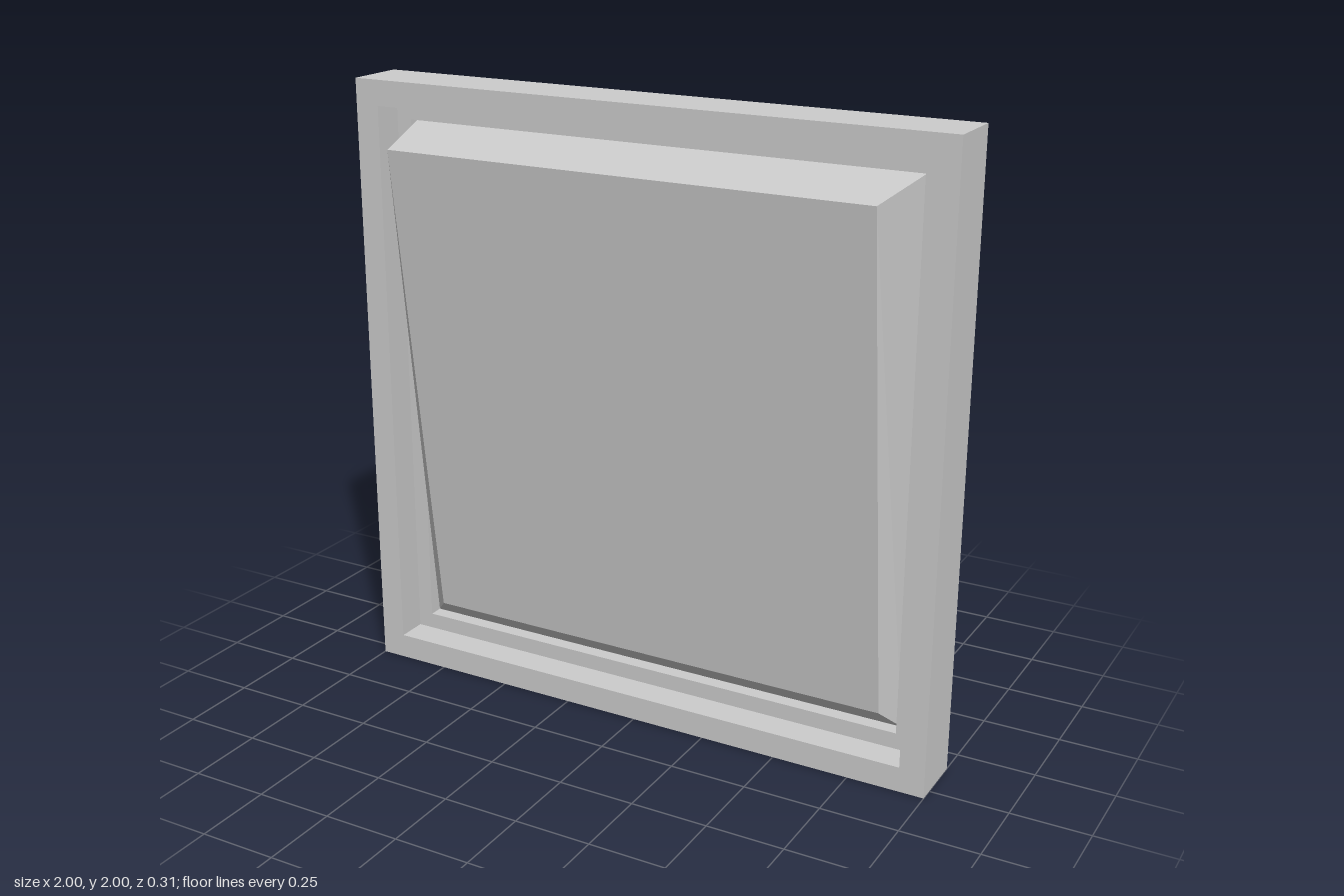
import * as THREE from 'three';

const BACK = -0.153, WELL = -0.1, LEDGE = -0.053, FRONT = 0.047;

// Closed loop of square corners, anticlockwise from lower left
const corners = (h) => [[-h, -h], [h, -h], [h, h], [-h, h]];
const outline = (h, Type) => new Type(corners(h).map(([x, y]) => new THREE.Vector2(x, y)));

// Square ring of the full plate size, from z0 to z1
function ring(hole, z0, z1) {
  const shape = outline(1, THREE.Shape);
  shape.holes.push(outline(hole, THREE.Path));
  return new THREE.ExtrudeGeometry(shape, { depth: z1 - z0, bevelEnabled: false }).translate(0, 1, z0);
}

// Tapered rocker: flat foot in the well, tilted front face
function rockerGeometry() {
  const outer = corners(0.865).map(([x, y]) => new THREE.Vector3(x, y + 1, WELL));
  const inner = corners(0.808).map(([x, y]) => new THREE.Vector3(x, y + 1, y > 0 ? 0.153 : -0.046));
  const pts = [inner[0], inner[1], inner[2], inner[0], inner[2], inner[3]];
  for (let k = 0; k < 4; k++) {
    const n = (k + 1) % 4;
    const [a, b, c, d] = [outer[k], outer[n], inner[n], inner[k]];
    // mirrored diagonal on the left side
    pts.push(...(k === 3 ? [b, c, d, a, b, d] : [a, b, c, a, c, d]));
  }
  const geo = new THREE.BufferGeometry().setFromPoints(pts);
  geo.computeVertexNormals();
  return geo;
}

export function createModel() {
  const group = new THREE.Group();
  group.name = 'rockerSwitch';
  const plastic = new THREE.MeshStandardMaterial({ color: 0xcccccc });
  plastic.name = 'light grey plastic';

  const add = (name, geo) => {
    const mesh = new THREE.Mesh(geo, plastic);
    mesh.name = name;
    group.add(mesh);
  };

  // Housing: solid back, stepped ledge and outer frame
  add('backPlate', new THREE.BoxGeometry(2, 2, WELL - BACK).translate(0, 1, (WELL + BACK) / 2));
  add('innerLedge', ring(0.865, WELL, LEDGE));
  add('outerFrame', ring(0.918, LEDGE, FRONT));

  // Tilted button
  add('rocker', rockerGeometry());
  return group;
}
